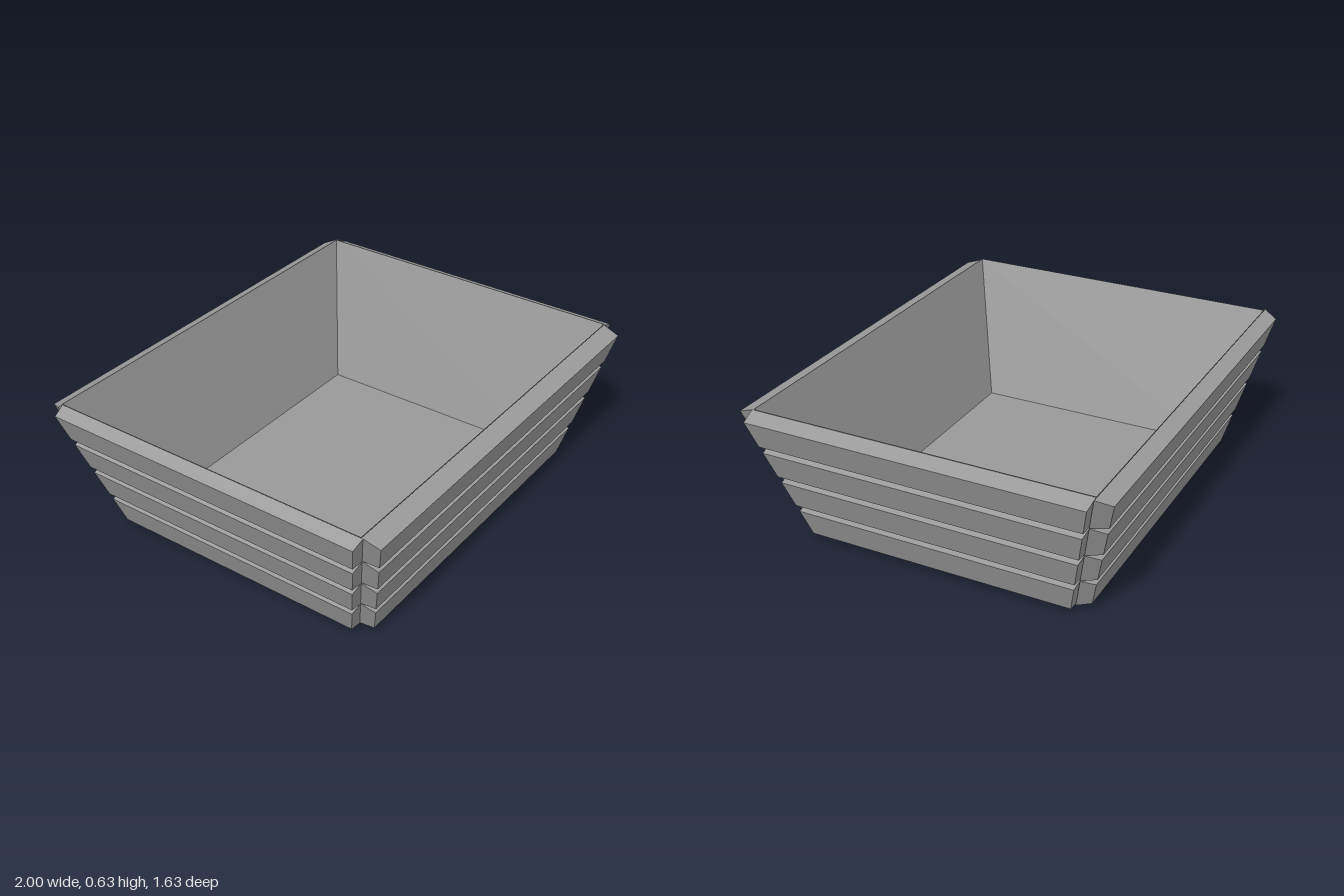
import * as THREE from 'three';

const HEIGHT = 0.633;
const GREY = 0x999999;

// Sloping sides, counted round the y axis from the front:
// out = distance of the inner wall at y = 0, slope = its flare,
// depth = plank thickness at y = 0, taper = its growth with height,
// reach = how far the neighbouring planks run past this wall,
// overhang = widening of this side's planks along the inner edge
const SIDES = [
  { name: 'front', out: 0.576, slope: 0.246, depth: 0.077, taper: 0.015, reach: 0.01, overhang: 0 },
  { name: 'left', out: 0.728, slope: 0.325, depth: 0.07, taper: 0.01, reach: 0, overhang: 0 },
  { name: 'back', out: 0.594, slope: 0.245, depth: 0.058, taper: 0.024, reach: 0, overhang: 0.025 },
  { name: 'right', out: 0.741, slope: 0.325, depth: 0.057, taper: 0.01, reach: 0, overhang: 0 },
];
const wallAt = (side, y) => side.out + side.slope * y;

// Flat-faced solid between two four-cornered rings
function ringSolid(a, b, capEnd) {
  const pos = [];
  const quad = (p, q, r, s) => [p, q, r, p, r, s].forEach((v) => pos.push(...v));
  for (let i = 0; i < 4; i++) {
    const j = (i + 1) % 4;
    quad(a[i], a[j], b[j], b[i]);
  }
  quad(a[3], a[2], a[1], a[0]);
  if (capEnd) quad(...b);
  const geo = new THREE.BufferGeometry();
  geo.setAttribute('position', new THREE.Float32BufferAttribute(pos, 3));
  geo.computeVertexNormals();
  return geo;
}

// Bevelled plank of one side; its ends follow the slope of the neighbouring walls
function plankGeometry(index, row) {
  const side = SIDES[index];
  const before = SIDES[(index + 3) % 4];
  const after = SIDES[(index + 1) % 4];
  const cos = Math.round(Math.cos(index * Math.PI / 2));
  const sin = Math.round(Math.sin(index * Math.PI / 2));
  const place = (along, y, out) => [along * cos + out * sin, y, out * cos - along * sin];
  // Corners as [height, outer edge?]
  const profile = [
    [0.162 + 0.156 * row, false],
    [0.145 + 0.153 * row, true],
    [0.023 + 0.153 * row, true],
    [0.008 + 0.156 * row, false],
  ];
  const ring = (neighbour, sign) => profile.map(([y, outer]) => {
    const end = wallAt(neighbour, y) + neighbour.reach + (outer ? 0 : side.overhang);
    const depth = outer ? side.depth + side.taper * y : 0.002;
    return place(sign * end, y, wallAt(side, y) + depth);
  });
  return ringSolid(ring(before, -1), ring(after, 1), true);
}

export function createModel() {
  const model = new THREE.Group();
  model.name = 'planterBox';
  const wood = new THREE.MeshStandardMaterial({ color: GREY, flatShading: true });
  const thin = new THREE.MeshStandardMaterial({
    color: GREY, flatShading: true, side: THREE.DoubleSide,
  });

  // Open liner: four sloping walls and a floor
  const [front, left, back, right] = SIDES;
  const corners = (y) => [
    [wallAt(left, y), y, wallAt(front, y)],
    [wallAt(left, y), y, -wallAt(back, y)],
    [-wallAt(right, y), y, -wallAt(back, y)],
    [-wallAt(right, y), y, wallAt(front, y)],
  ];
  const liner = new THREE.Mesh(ringSolid(corners(0), corners(HEIGHT), false), thin);
  liner.name = 'liner';
  model.add(liner);

  // Four rows of planks on every side
  SIDES.forEach((side, index) => {
    const wall = new THREE.Group();
    wall.name = `${side.name}Planks`;
    for (let row = 0; row < 4; row++) {
      const plank = new THREE.Mesh(plankGeometry(index, row), wood);
      plank.name = `${side.name}Plank${row + 1}`;
      wall.add(plank);
    }
    model.add(wall);
  });
  return model;
}
